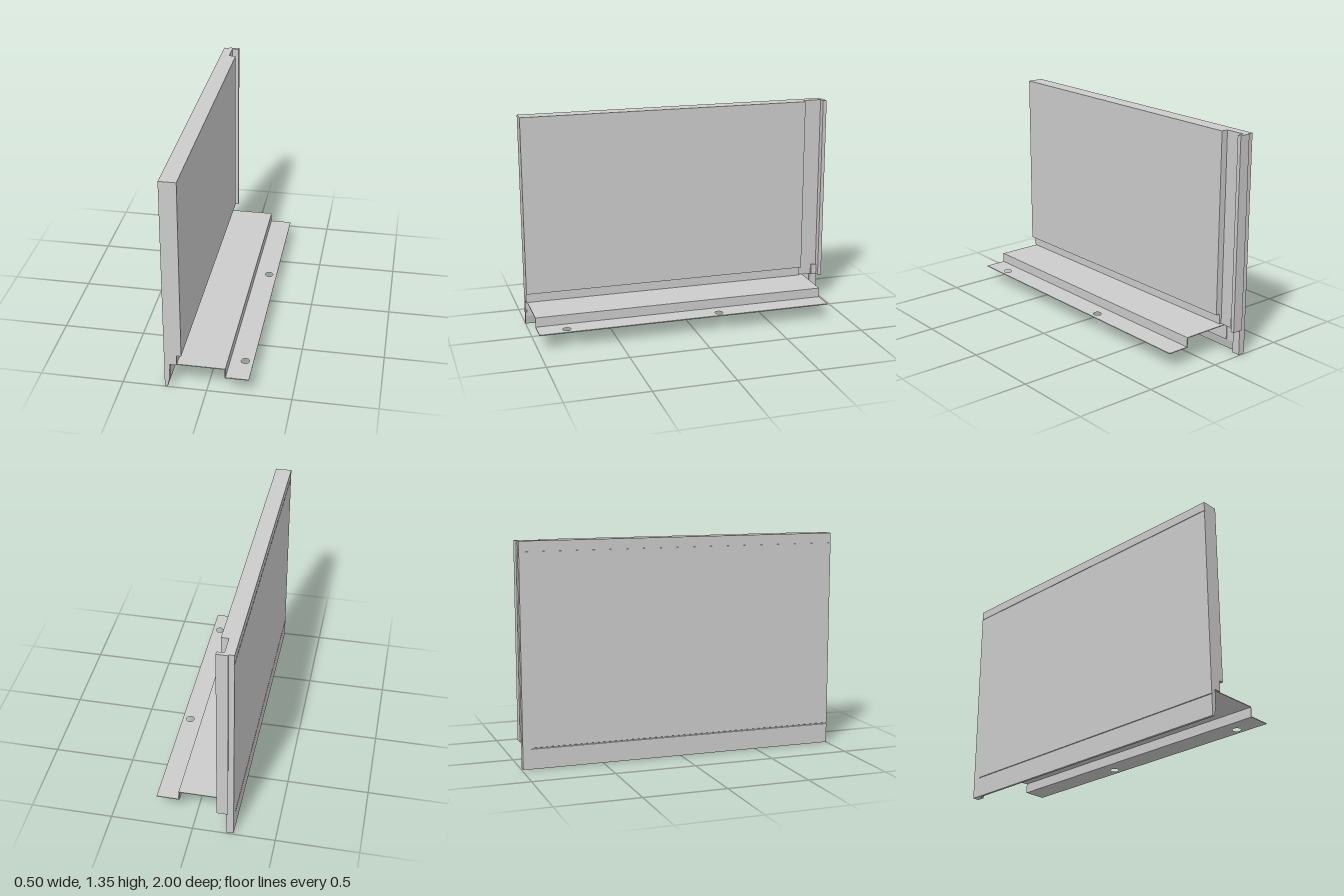
import * as THREE from 'three';

const material = new THREE.MeshStandardMaterial({ color: 0xcccccc, flatShading: true });

function toShape(points) {
  return new THREE.Shape(points.map(([a, b]) => new THREE.Vector2(a, b)));
}

// Extrude an (x, y) outline along z
function alongZ(points, z0, z1) {
  const g = new THREE.ExtrudeGeometry(toShape(points), { depth: z1 - z0, bevelEnabled: false });
  return g.translate(0, 0, z0);
}

// Extrude an (x, z) outline (with optional round holes) along y
function alongY(points, y0, y1, holes = []) {
  const shape = toShape(points.map(([x, z]) => [x, -z]));
  for (const [x, z, r] of holes) {
    shape.holes.push(new THREE.Path().absarc(x, -z, r, 0, Math.PI * 2, true));
  }
  const g = new THREE.ExtrudeGeometry(shape, { depth: y1 - y0, bevelEnabled: false, curveSegments: 16 });
  return g.rotateX(-Math.PI / 2).translate(0, y0, 0);
}

function rect(a0, a1, b0, b1) {
  return [[a0, b0], [a1, b0], [a1, b1], [a0, b1]];
}

export function createModel() {
  const model = new THREE.Group();
  const add = (name, geometry, parent = model) => {
    const mesh = new THREE.Mesh(geometry, material);
    mesh.name = name;
    parent.add(mesh);
  };

  // Upright panel with a channel and lip at its back end
  const panel = new THREE.Group();
  panel.name = 'panel';
  model.add(panel);
  const plan = (outer, inner) => [
    [outer, 1], [inner, 1], [inner, -0.853], [-0.19, -0.853], [-0.19, -0.976],
    [-0.147, -0.976], [-0.147, -1], [-0.215, -1], [-0.215, -0.992], [outer, -0.992],
  ];
  // Bands from bottom to top: y0, y1, outer face, inner face
  const bands = [
    ['panelFoot', 0.16, 0.225, -0.248, -0.175],
    ['panelBody', 0.225, 1.288, -0.248, -0.147],
    ['panelGroove', 1.288, 1.294, -0.244, -0.147],
    ['panelCap', 1.294, 1.35, -0.248, -0.147],
  ];
  for (const [name, y0, y1, outer, inner] of bands) add(name, alongY(plan(outer, inner), y0, y1), panel);

  // Tapered skirt below the panel, with a shallow groove outside
  add('skirt', alongZ([
    [-0.248, 0], [-0.232, 0], [-0.218, 0.06], [-0.218, 0.16],
    [-0.248, 0.16], [-0.248, 0.13], [-0.244, 0.128], [-0.244, 0.124], [-0.248, 0.122],
  ], -0.94, 1));

  // Block closing the skirt at the back end
  add('endBlock', alongZ(rect(-0.248, -0.205, 0, 0.16), -0.992, -0.94));
  add('endBlockTop', alongZ(rect(-0.205, -0.178, 0.16, 0.225), -0.976, -0.94));

  // Stepped sheet bracket
  const bracket = new THREE.Group();
  bracket.name = 'bracket';
  model.add(bracket);
  const t = 0.005, zBack = -0.877, zFront = 0.992;
  add('bracketStep', alongZ([
    [-0.218, 0.06], [-0.213, 0.06], [-0.213, 0.157], [0.105, 0.157], [0.105, 0.097],
    [0.11, 0.097], [0.11, 0.162], [-0.218, 0.162],
  ], zBack, zFront), bracket);
  add('bracketFlange', alongY(rect(0.11, 0.247, zBack, zFront), 0.097, 0.097 + t,
    [[0.198, -0.157, 0.025], [0.198, 0.815, 0.025]]), bracket);

  return model;
}
